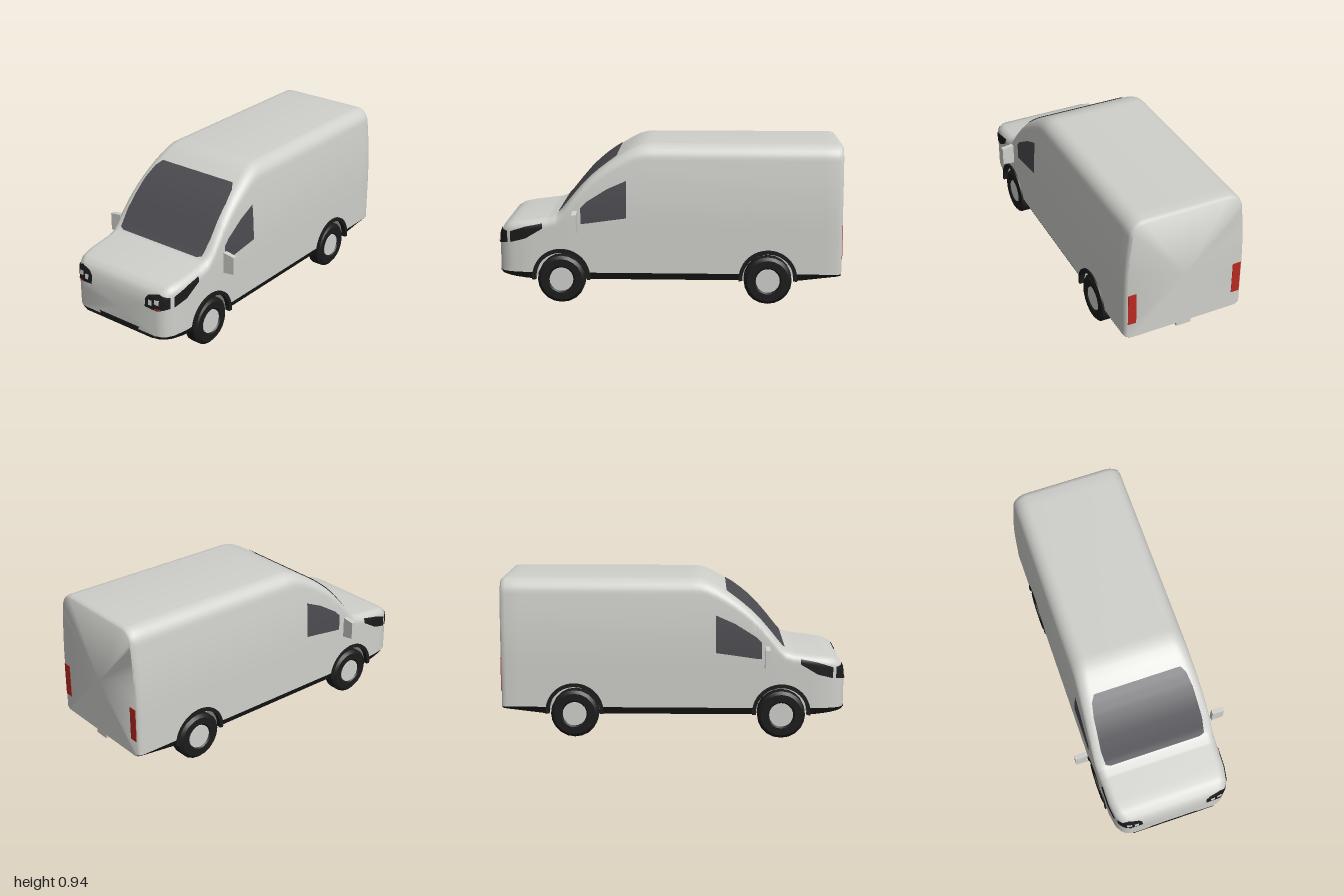
import * as THREE from 'three';
import { toCreasedNormals } from 'three/addons/utils/BufferGeometryUtils.js';

const material = (name, color, side = THREE.DoubleSide) => {
  const m = new THREE.MeshStandardMaterial({ color, side });
  m.name = name;
  return m;
};

// Body rules along z, given as [z, value] from nose to tail
const ROOF = [[1, 0.36], [0.99, 0.42], [0.97, 0.455], [0.93, 0.474], [0.88, 0.483], [0.7, 0.505], [0.655, 0.52],
  [0.62, 0.555], [0.56, 0.63], [0.5, 0.7], [0.45, 0.75], [0.4, 0.792], [0.35, 0.829], [0.3, 0.862], [0.25, 0.893],
  [0.2, 0.918], [0.16, 0.93], [0.12, 0.935], [-0.97, 0.935], [-0.99, 0.93], [-1, 0.92]];
const WIDTH = [[1, 0.27], [0.99, 0.3], [0.97, 0.325], [0.93, 0.345], [0.85, 0.359], [0.6, 0.365], [-0.97, 0.365],
  [-0.99, 0.36], [-1, 0.35]];
const FLOOR = [[1, 0.165], [0.9, 0.15], [0.8, 0.14], [-0.75, 0.14], [-1, 0.17]];
const RADIUS = [[1, 0.05], [0.6, 0.05], [0.3, 0.07], [0.1, 0.09], [-0.97, 0.09], [-1, 0.085]];
const WHEEL_Z = [0.633, -0.574], ARCH_Y = 0.155, ARCH_R = 0.15, SILL_TOP = 0.183;

function at(table, z) {
  for (let i = 1; i < table.length; i++) {
    const [z0, v0] = table[i - 1], [z1, v1] = table[i];
    if (z >= z1) return v0 + (v1 - v0) * (z0 - z) / (z0 - z1);
  }
  return table[table.length - 1][1];
}
const wall = (y, z) => at(WIDTH, z) * (1 - 0.055 * (Math.max(0, y - 0.45) / 0.35) ** 2);

// Half width of the body at a height and a station
function halfWidth(y, z) {
  const top = at(ROOF, z), r = at(RADIUS, z), shoulder = top - r;
  if (y > top) return -1;
  if (y <= shoulder) return wall(y, z);
  return wall(shoulder, z) - r + Math.sqrt(r * r - (y - shoulder) ** 2);
}
// Foremost z of the body at (x, y)
function frontZ(x, y) {
  let lo = 0, hi = 1;
  for (let i = 0; i < 24; i++) {
    const mid = (lo + hi) / 2;
    if (halfWidth(y, mid) >= Math.abs(x)) lo = mid; else hi = mid;
  }
  return lo;
}

const SIDE_ROWS = 9, ARC_ROWS = 7, SILL_ROW = 3;
function section(z) {
  const floor = at(FLOOR, z), top = at(ROOF, z), r = at(RADIUS, z), shoulder = top - r;
  let arch = floor;
  for (const wz of WHEEL_Z) {
    const d = Math.abs(z - wz);
    if (d < ARCH_R) arch = Math.max(arch, ARCH_Y + Math.sqrt(ARCH_R ** 2 - d * d));
  }
  const sill = Math.max(SILL_TOP, arch), inset = arch < SILL_TOP ? 0.02 : 0;
  const half = [[0, floor], [0.25, floor], [0.25, arch], [at(WIDTH, z) - inset, arch]];
  for (let i = 0; i <= SIDE_ROWS; i++) {
    const y = sill + (shoulder - sill) * i / SIDE_ROWS;
    half.push([wall(y, z), y]);
  }
  const cx = wall(shoulder, z) - r;
  for (let i = 1; i <= ARC_ROWS; i++) {
    const a = i / ARC_ROWS * Math.PI / 2;
    half.push([cx + r * Math.cos(a), shoulder + r * Math.sin(a)]);
  }
  half.push([0, top]);
  const mirrored = half.slice(1, -1).reverse().map(([x, y]) => [-x, y]);
  return half.concat(mirrored);
}

// Lofted shell, split into painted body and dark sill
function loftBody() {
  const stations = new Set([...ROOF, ...WIDTH, ...FLOOR, ...RADIUS].map(p => p[0]));
  for (const wz of WHEEL_Z) {
    for (let i = 0; i <= 16; i++) stations.add(wz + (ARCH_R - 0.0001) * Math.cos(i / 16 * Math.PI));
    stations.add(wz + ARCH_R + 0.001).add(wz - ARCH_R - 0.001);
  }
  for (let z = -0.9; z < 0.1; z += 0.2) stations.add(z);
  const zs = [...stations].sort((a, b) => b - a);
  const pos = [], shell = [], sill = [], m = section(0).length;
  for (const z of zs) for (const [x, y] of section(z)) pos.push(x, y, z);
  for (let i = 0; i < zs.length - 1; i++) {
    for (let j = 0; j < m; j++) {
      const k = (j + 1) % m, a = i * m + j, b = i * m + k, c = b + m, d = a + m;
      const dark = j === SILL_ROW || j === m - 1 - SILL_ROW;
      (dark ? sill : shell).push(a, d, c, a, c, b);
    }
  }
  // Nose and tail caps
  const last = (zs.length - 1) * m, nose = pos.length / 3;
  pos.push(0, 0.27, 1, 0, 0.5, -1);
  for (let j = 0; j < m; j++) {
    const k = (j + 1) % m;
    shell.push(nose, j, k, nose + 1, last + k, last + j);
  }
  return [shell, sill].map(index => {
    const g = new THREE.BufferGeometry();
    g.setAttribute('position', new THREE.Float32BufferAttribute(pos, 3));
    g.setIndex(index);
    return toCreasedNormals(g, 0.8);
  });
}

// Thin skin laid on the body: columns are [a, low, high], map turns (a, b) into a point
function skin(cols, map, steps = 5, rows = 10) {
  const pos = [], index = [], n = (cols.length - 1) * steps;
  for (let i = 0; i <= n; i++) {
    const c = Math.min(Math.floor(i / steps), cols.length - 2), t = i / steps - c;
    const [a, lo, hi] = cols[c].map((v, k) => v + (cols[c + 1][k] - v) * t);
    for (let j = 0; j <= rows; j++) pos.push(...map(a, lo + (hi - lo) * j / rows));
  }
  for (let i = 0; i < n; i++) for (let j = 0; j < rows; j++) {
    const p = i * (rows + 1) + j, q = p + rows + 1;
    index.push(p, q, q + 1, p, q + 1, p + 1);
  }
  const g = new THREE.BufferGeometry();
  g.setAttribute('position', new THREE.Float32BufferAttribute(pos, 3));
  g.setIndex(index);
  g.computeVertexNormals();
  return g;
}

export function createModel() {
  const van = new THREE.Group();
  van.name = 'van';
  const paint = material('body paint', 0xcfcfcb);
  const black = material('black trim', 0x1b1b1b);
  const glass = material('tinted glass', 0x4c4b50);
  const red = material('red lamp', 0xb92a20);
  const lamp = material('clear lamp', 0xd0d0cd);
  const add = (name, geometry, mat, x = 0, y = 0, z = 0) => {
    const mesh = new THREE.Mesh(geometry, mat);
    mesh.name = name;
    mesh.position.set(x, y, z);
    van.add(mesh);
    return mesh;
  };

  const [shell, sill] = loftBody();
  add('bodyShell', shell, paint);
  add('sill', sill, black);

  // Windscreen and front lower trim, as rows of [y, -x, x]
  const acrossFront = (y, x) => [x, y, frontZ(x, y) + 0.008];
  add('windscreen', skin([[0.53, -0.275, 0.275], [0.54, -0.305, 0.305], [0.62, -0.312, 0.312], [0.78, -0.3, 0.3],
    [0.835, -0.285, 0.285], [0.86, -0.26, 0.26]], acrossFront, 6, 24), glass);
  const onNose = (y, x) => [x, y, frontZ(x, y) + 0.003];
  add('bumperLip', skin([[0.165, -0.25, 0.25], [0.183, -0.268, 0.268]], onNose), black);
  add('lowerGrille', skin([[0.18, -0.14, 0.14], [0.2, -0.15, 0.15]], onNose), black);
  add('rearStep', new THREE.BoxGeometry(0.09, 0.025, 0.03), paint, 0, 0.16, -0.985);

  // Parts repeated on both sides
  const tyreProfile = [[0, -0.035], [0.07, -0.035], [0.08, -0.047], [0.122, -0.047], [0.14, -0.032], [0.14, 0.032],
    [0.122, 0.047], [0.08, 0.047], [0.07, 0.035], [0, 0.035]].map(p => new THREE.Vector2(...p));
  const tyre = toCreasedNormals(new THREE.LatheGeometry(tyreProfile, 20).rotateZ(Math.PI / 2), 0.7);
  const hub = new THREE.CylinderGeometry(0.07, 0.07, 0.008, 20).rotateZ(Math.PI / 2);
  const flareShape = new THREE.Shape();
  flareShape.absarc(0, 0, 0.17, -0.08, Math.PI + 0.08, false);
  flareShape.absarc(0, 0, 0.148, Math.PI + 0.08, -0.08, true);
  const flare = new THREE.ExtrudeGeometry(flareShape, { depth: 0.03, bevelEnabled: false, curveSegments: 24 })
    .translate(0, 0, -0.03).rotateY(Math.PI / 2);

  for (const s of [1, -1]) {
    const side = s > 0 ? 'left' : 'right';
    const onSide = (z, y) => [s * (halfWidth(y, z) + 0.004), y, z];
    const onFront = lift => (x, y) => [s * x, y, frontZ(x, y) + lift];

    add(side + 'DoorWindow', skin([[0.515, 0.475, 0.57], [0.48, 0.478, 0.605], [0.36, 0.495, 0.68],
      [0.25, 0.51, 0.728]], onSide), glass);

    // Headlights wrapping round the corner
    add(side + 'Headlight', skin([[0.2, 0.35, 0.4], [0.22, 0.35, 0.425], [0.285, 0.345, 0.442], [0.338, 0.358, 0.425]],
      onFront(0.005)), black);
    add(side + 'HeadlightSide', skin([[0.93, 0.36, 0.425], [0.84, 0.385, 0.455], [0.74, 0.445, 0.475]], onSide), black);
    add(side + 'OuterLamp', skin([[0.265, 0.385, 0.41], [0.295, 0.38, 0.41]], onFront(0.009)), lamp);
    add(side + 'InnerLamp', skin([[0.225, 0.37, 0.4], [0.25, 0.37, 0.4]], onFront(0.009)), lamp);
    add(side + 'Indicator', skin([[0.27, 0.352, 0.36], [0.305, 0.352, 0.36]], onFront(0.009)), red);

    // Tail light
    add(side + 'TailLight', new THREE.BoxGeometry(0.05, 0.2, 0.008), red, s * 0.324, 0.37, -0.999);

    // Door mirror, shorter at its outer edge
    const mirror = new THREE.BoxGeometry(0.072, 0.125, 0.028);
    const p = mirror.attributes.position;
    for (let i = 0; i < p.count; i++) if (p.getX(i) * s > 0) p.setY(i, p.getY(i) * 0.84);
    mirror.computeVertexNormals();
    add(side + 'Mirror', mirror, paint, s * 0.426, 0.493, 0.545);

    // Wheels and arch flares
    WHEEL_Z.forEach((z, i) => {
      const end = side + (i ? 'Rear' : 'Front');
      add(end + 'Tyre', tyre, black, s * 0.318, 0.14, z);
      add(end + 'Hub', hub, lamp, s * 0.356, 0.14, z);
      add(end + 'ArchFlare', flare, black, s > 0 ? 0.375 : -0.338, ARCH_Y, z);
    });
  }
  return van;
}
